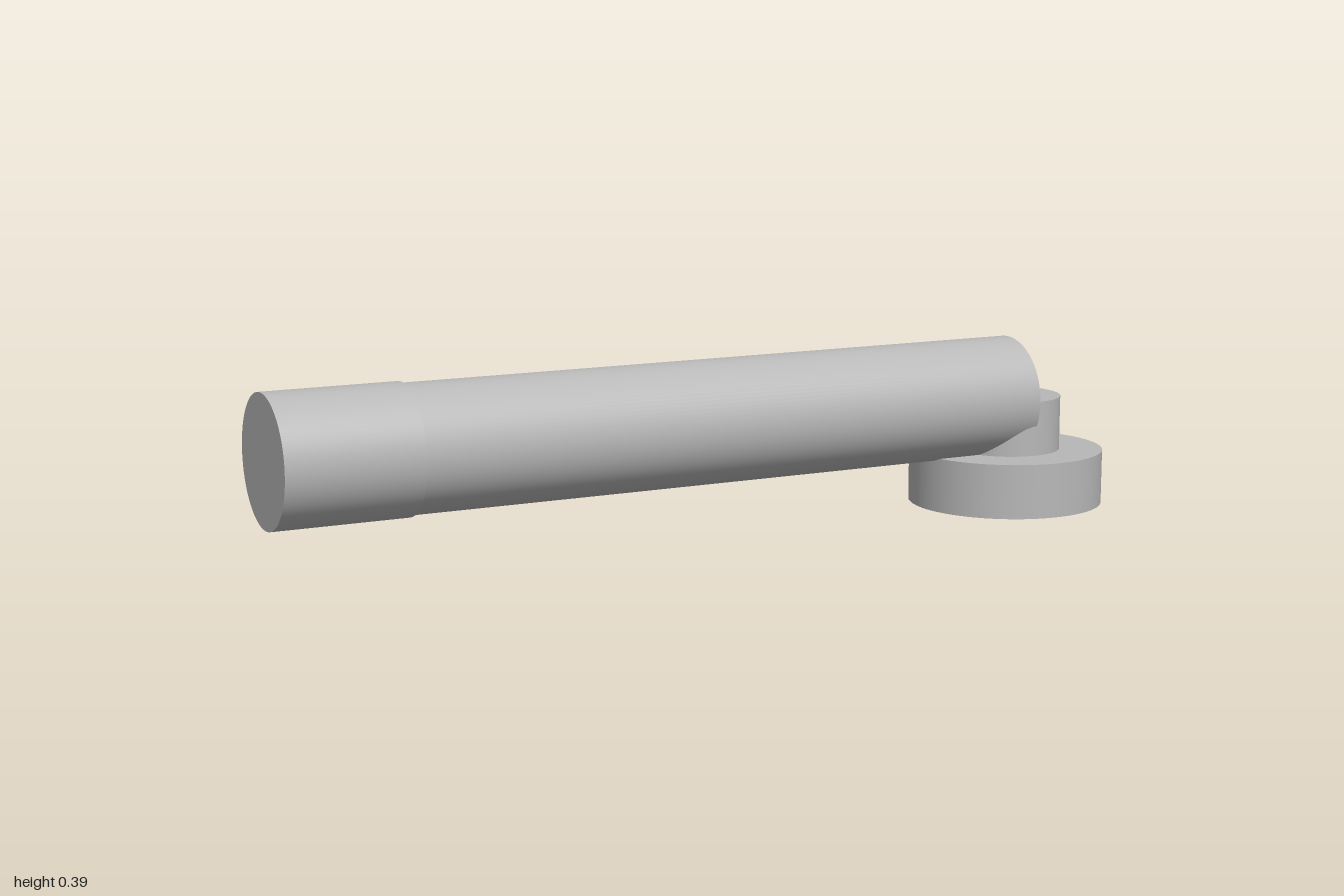
import * as THREE from 'three';

export function createModel() {
  const group = new THREE.Group();
  const steel = new THREE.MeshStandardMaterial({ color: 0xb8b8b8 });
  steel.name = 'grey steel';

  const add = (name, geometry) => {
    const mesh = new THREE.Mesh(geometry, steel);
    mesh.name = name;
    group.add(mesh);
    return mesh;
  };

  // Horizontal round rod between two x positions
  const axisY = 0.248;
  const rod = (name, radius, x0, x1) => {
    const mesh = add(name, new THREE.CylinderGeometry(radius, radius, x1 - x0, 96));
    mesh.rotation.z = -Math.PI / 2;
    mesh.position.set((x0 + x1) / 2, axisY, 0);
  };
  rod('gripCollar', 0.14, -1, -0.705);
  rod('handleBar', 0.136, -0.705, 0.777);

  // Stepped head: each straight run is its own lathe so the edges stay sharp
  const head = new THREE.Group();
  head.name = 'head';
  head.position.x = 0.777;
  group.add(head);
  const baseR = 0.223, bossR = 0.124, holeR = 0.078, step = 0.124, top = 0.248;
  const runs = [
    ['boreCeiling', [0, step], [holeR, step]],
    ['boreWall', [holeR, step], [holeR, 0]],
    ['baseUnderside', [holeR, 0], [baseR, 0]],
    ['baseWall', [baseR, 0], [baseR, step]],
    ['baseTop', [baseR, step], [bossR, step]],
    ['bossWall', [bossR, step], [bossR, top]],
    ['bossTop', [bossR, top], [0, top]],
  ];
  for (const [name, a, b] of runs) {
    const points = [new THREE.Vector2(...a), new THREE.Vector2(...b)];
    head.add(add(name, new THREE.LatheGeometry(points, 96)));
  }
  return group;
}
